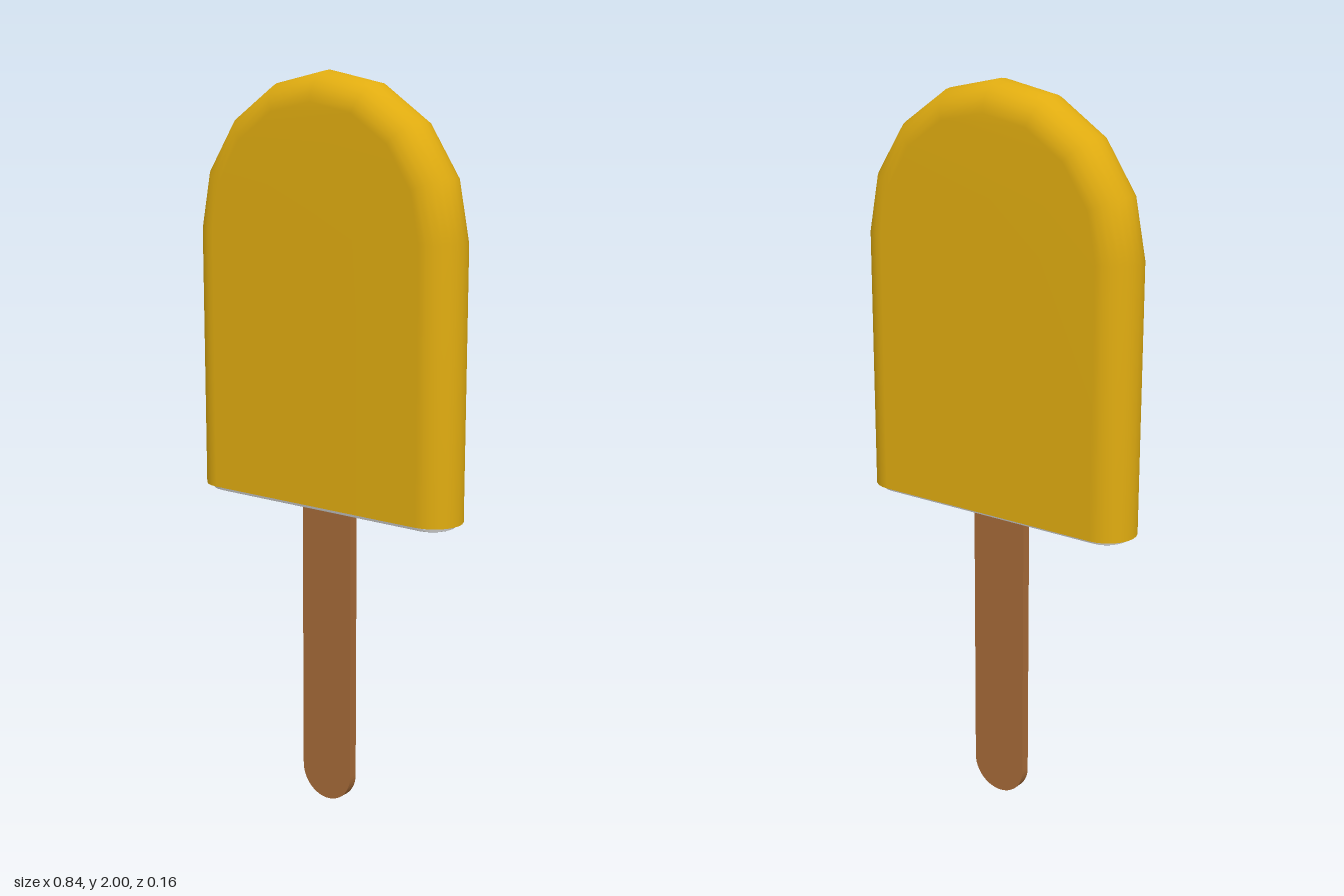
import * as THREE from 'three';

const R = 0.42;          // half width of the bar and radius of its arched top
const EDGE = 0.08;       // half depth of the bar, rounded fully at the rim
const BASE = 0.865;      // underside of the coating
const ARCH = 1.58;       // height where the arch begins

const mat = (name, color) => {
  const m = new THREE.MeshStandardMaterial({ color });
  m.name = name;
  return m;
};

// Half-round rim swept along the arched outline, closed by flat front and back
function barGeometry() {
  const cols = 11, rows = 13, pos = [], index = [];
  for (let j = 0; j < rows; j++) {
    const t = -Math.PI / 2 + (Math.PI * j) / (rows - 1);
    const r = R - EDGE + EDGE * Math.cos(t);
    for (let i = 0; i < cols; i++) {
      const a = (Math.PI * THREE.MathUtils.clamp(i - 1, 0, 8)) / 8;
      const y = i === 0 || i === cols - 1 ? BASE : ARCH + r * Math.sin(a);
      pos.push(r * Math.cos(a), y, EDGE * Math.sin(t));
    }
  }
  for (let j = 0; j < rows - 1; j++) {
    for (let i = 0; i < cols - 1; i++) {
      const a = j * cols + i, b = a + 1, c = b + cols, d = a + cols;
      index.push(a, b, c, a, c, d);
    }
  }
  const f = (rows - 1) * cols;
  for (let i = 0; i < 5; i++) {
    const a = i, b = i + 1, c = 9 - i, d = 10 - i;
    index.push(f + a, f + b, f + d, a, d, b);
    if (b !== c) index.push(f + b, f + c, f + d, b, d, c);
  }
  const g = new THREE.BufferGeometry();
  g.setAttribute('position', new THREE.Float32BufferAttribute(pos, 3));
  g.setIndex(index);
  g.computeVertexNormals();
  return g;
}

// Long oval with half length a and half width b
function oval(a, b) {
  const s = new THREE.Shape();
  s.absarc(a - b, 0, b, -Math.PI / 2, Math.PI / 2, false);
  s.absarc(b - a, 0, b, Math.PI / 2, Math.PI * 1.5, false);
  return s;
}

export function createModel() {
  const group = new THREE.Group();
  const add = (name, geometry, material) => {
    const mesh = new THREE.Mesh(geometry, material);
    mesh.name = name;
    group.add(mesh);
    return mesh;
  };
  const coating = mat('yellow coating', 0xe0ac10);
  const cream = mat('white filling', 0xe8e8e6);
  const wood = mat('brown wood', 0xa56a38);

  // Coated bar and its flat underside
  add('bar', barGeometry(), coating);
  const under = new THREE.ShapeGeometry(oval(R, EDGE), 6);
  under.rotateX(Math.PI / 2);
  add('barUnderside', under, coating).position.y = BASE;

  // Filling showing below the coating
  const core = new THREE.ExtrudeGeometry(oval(0.392, 0.055), {
    depth: 0.02, bevelThickness: 0.01, bevelSize: 0.01, bevelSegments: 2, curveSegments: 6,
  });
  core.rotateX(Math.PI / 2);
  add('filling', core, cream).position.y = 0.88;

  // Flat stick with a rounded lower end
  const w = 0.083, d = 0.026;
  const s = new THREE.Shape();
  s.moveTo(w, 0.9);
  s.lineTo(-w, 0.9);
  s.lineTo(-w, w);
  s.absarc(0, w, w, Math.PI, Math.PI * 2, false);
  const stick = new THREE.ExtrudeGeometry(s, { depth: d, bevelEnabled: false, curveSegments: 16 });
  stick.translate(0, 0, -d / 2);
  add('stick', stick, wood);

  return group;
}
